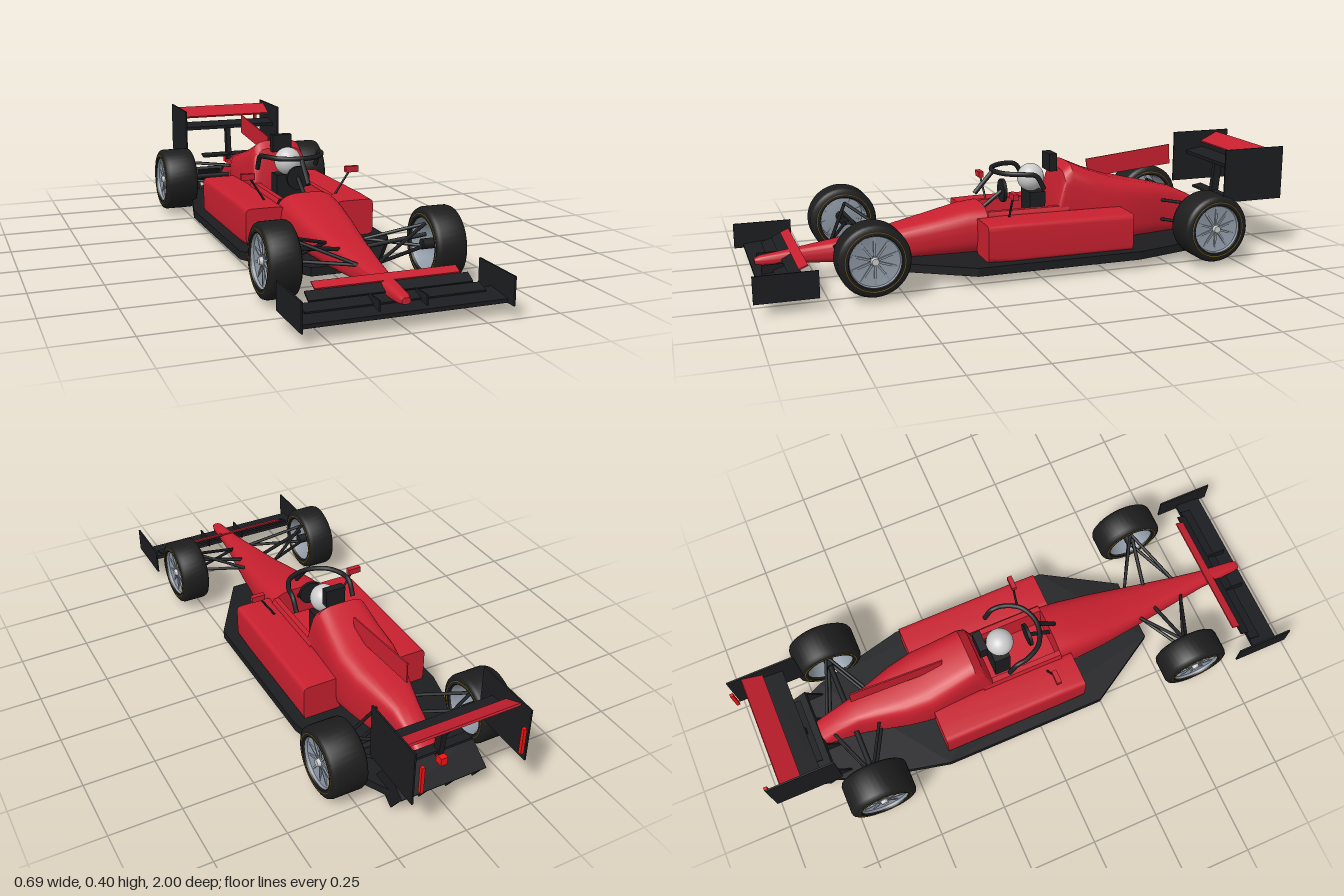
import * as THREE from 'three';
import { toCreasedNormals } from 'three/addons/utils/BufferGeometryUtils.js';

const paint = (color, side = THREE.FrontSide) => new THREE.MeshStandardMaterial({ color, side });
const RED = paint(0xc8202f);
const BLACK = paint(0x1c1d20);
const TYRE = paint(0x1d1d1d, THREE.DoubleSide);
const RIM = paint(0x8f99a5, THREE.DoubleSide);
const YELLOW = paint(0xb08c20);
const WHITE = paint(0xd6d6d6);
const LIGHT = paint(0xf01414);

export function createModel() {
  const car = new THREE.Group();
  car.name = 'racingCar';

  const add = (name, geometry, material, parent = car) => {
    const mesh = new THREE.Mesh(geometry, material);
    mesh.name = name;
    parent.add(mesh);
    return mesh;
  };
  const box = (name, size, pos, material, tilt = 0, parent = car) => {
    const mesh = add(name, new THREE.BoxGeometry(...size), material, parent);
    mesh.position.set(...pos);
    mesh.rotation.x = tilt;
    return mesh;
  };
  const rod = (name, a, b, r, material = BLACK) => {
    const from = new THREE.Vector3(...a), to = new THREE.Vector3(...b);
    const mesh = add(name, new THREE.CylinderGeometry(r, r, from.distanceTo(to), 8), material);
    mesh.position.copy(from).add(to).multiplyScalar(0.5);
    mesh.quaternion.setFromUnitVectors(new THREE.Vector3(0, 1, 0), to.sub(from).normalize());
    return mesh;
  };

  // Skin over rings of [x, y] points, stations running front to back
  const loft = (rings, zs, capped = true) => {
    const n = rings[0].length, pos = [], idx = [];
    rings.forEach((ring, s) => ring.forEach(([x, y]) => pos.push(x, y, zs[s])));
    for (let s = 0; s < rings.length - 1; s++) {
      for (let i = 0; i < n; i++) {
        const a = s * n + i, b = s * n + (i + 1) % n;
        idx.push(a, a + n, b, b, a + n, b + n);
      }
    }
    if (capped) {
      for (const s of [0, rings.length - 1]) {
        const c = pos.length / 3;
        const mean = k => rings[s].reduce((t, p) => t + p[k], 0) / n;
        pos.push(mean(0), mean(1), zs[s]);
        for (let i = 0; i < n; i++) {
          const a = s * n + i, b = s * n + (i + 1) % n;
          idx.push(c, s ? b : a, s ? a : b);
        }
      }
    }
    const g = new THREE.BufferGeometry();
    g.setAttribute('position', new THREE.Float32BufferAttribute(pos, 3));
    g.setIndex(idx);
    return toCreasedNormals(g, 0.6);
  };
  // Rounded section: smaller p is squarer
  const oval = (w, y0, y1, p, cx = 0) => Array.from({ length: 32 }, (_, i) => {
    const t = i / 32 * Math.PI * 2, c = Math.cos(t), s = Math.sin(t);
    return [cx + w * Math.sign(c) * Math.abs(c) ** p,
      (y0 + y1) / 2 + (y1 - y0) / 2 * Math.sign(s) * Math.abs(s) ** p];
  });
  // Stations are [z, half width, bottom, top]
  const body = (name, stations, p, cx = 0) => add(name,
    loft(stations.map(([, w, y0, y1]) => oval(w, y0, y1, p, cx)), stations.map(s => s[0])), RED);

  // Bodywork
  body('nose', [[0.96, 0.014, 0.075, 0.095], [0.94, 0.02, 0.07, 0.102], [0.8, 0.03, 0.065, 0.12],
    [0.69, 0.045, 0.06, 0.135], [0.5, 0.075, 0.055, 0.163], [0.35, 0.097, 0.055, 0.195],
    [0.22, 0.11, 0.055, 0.225], [0.15, 0.115, 0.055, 0.232]], 0.65);
  const tub = [[0.115, 0.055], [0.115, 0.195], [0.105, 0.214], [0.085, 0.214], [0.075, 0.12]];
  const tubRing = [...tub, ...tub.map(([x, y]) => [-x, y]).reverse()];
  add('cockpitTub', loft([tubRing, tubRing], [0.15, -0.16], false), RED);
  body('engineCover', [[-0.12, 0.112, 0.055, 0.225], [-0.15, 0.107, 0.055, 0.34],
    [-0.18, 0.106, 0.055, 0.365], [-0.27, 0.112, 0.055, 0.325], [-0.36, 0.118, 0.055, 0.295],
    [-0.45, 0.104, 0.06, 0.272], [-0.55, 0.076, 0.06, 0.25], [-0.62, 0.057, 0.06, 0.232],
    [-0.7, 0.048, 0.07, 0.195], [-0.8, 0.042, 0.08, 0.13]], 0.5);

  const fin = new THREE.Shape([[0.27, 0.36], [0.615, 0.395], [0.62, 0.32], [0.28, 0.29]]
    .map(p => new THREE.Vector2(...p)));
  add('engineCoverFin', new THREE.ExtrudeGeometry(fin, { depth: 0.005, bevelEnabled: false })
    .rotateY(Math.PI / 2).translate(-0.0025, 0, 0), RED);
  box('rollHoopCamera', [0.075, 0.065, 0.03], [0, 0.363, -0.125], BLACK);

  // Floor with its tapered outline
  const half = [[0.12, 0.505], [0.28, 0.24], [0.28, -0.37], [0.2, -0.71], [0.16, -0.79]];
  const outline = [...half, ...half.map(([x, z]) => [-x, z]).reverse()];
  add('floor', new THREE.ExtrudeGeometry(
    new THREE.Shape(outline.map(p => new THREE.Vector2(...p))), { depth: 0.03, bevelEnabled: false })
    .rotateX(Math.PI / 2).translate(0, 0.066, 0), BLACK);

  // Diffuser with hanging strakes
  const diffuser = new THREE.Group();
  diffuser.name = 'diffuser';
  diffuser.position.set(0, 0.115, -0.815);
  diffuser.rotation.x = -0.6;
  car.add(diffuser);
  box('diffuserPlate', [0.32, 0.012, 0.12], [0, 0, 0], BLACK, 0, diffuser);
  for (const x of [-0.157, -0.052, 0.052, 0.157]) {
    box('diffuserStrake', [0.006, 0.1, 0.115], [x, -0.05, 0], BLACK, 0, diffuser);
  }

  // Front wing
  box('frontWingMain', [0.67, 0.014, 0.1], [0, 0.054, 0.917], BLACK, 0.1);
  box('frontWingLowerFlap', [0.59, 0.006, 0.045], [0, 0.073, 0.885], BLACK, 0.3);
  box('frontWingMiddleFlap', [0.54, 0.006, 0.04], [0, 0.096, 0.852], BLACK, 0.5);
  box('frontWingUpperFlap', [0.48, 0.005, 0.034], [0, 0.118, 0.825], RED, 0.4);
  for (const x of [-0.077, 0.077]) box('frontWingBracket', [0.005, 0.035, 0.09], [x, 0.073, 0.9], BLACK);

  // Rear wing
  box('rearWingMain', [0.405, 0.014, 0.075], [0, 0.322, -0.84], BLACK, 0.15);
  box('rearWingFlap', [0.405, 0.008, 0.078], [0, 0.372, -0.905], RED, 0.45);
  box('rearWingPillar', [0.02, 0.15, 0.03], [0, 0.245, -0.825], BLACK, -0.1);
  box('beamWing', [0.24, 0.008, 0.04], [0, 0.195, -0.81], BLACK, 0.15);
  box('rainLight', [0.025, 0.03, 0.03], [0, 0.17, -0.84], LIGHT);

  // Driver and cockpit
  const helmet = add('helmet', new THREE.SphereGeometry(0.05, 32, 20), WHITE);
  helmet.position.set(0, 0.307, -0.05);
  helmet.scale.y = 1.03;
  box('driverTorso', [0.1, 0.14, 0.06], [0, 0.19, -0.06], BLACK);
  const wheel = add('steeringWheel', new THREE.CylinderGeometry(0.043, 0.043, 0.012, 24)
    .rotateX(Math.PI / 2), BLACK);
  wheel.position.set(0, 0.265, 0.06);
  rod('steeringColumn', [0, 0.265, 0.06], [0, 0.19, 0.16], 0.008);

  // Halo
  const hoop = new THREE.CatmullRomCurve3([[-0.115, 0.285, -0.06], [-0.115, 0.335, -0.03],
    [-0.11, 0.342, 0.01], [-0.075, 0.342, 0.07], [0, 0.342, 0.097], [0.075, 0.342, 0.07],
    [0.11, 0.342, 0.01], [0.115, 0.335, -0.03], [0.115, 0.285, -0.06]].map(p => new THREE.Vector3(...p)));
  add('haloHoop', new THREE.TubeGeometry(hoop, 48, 0.009, 10), BLACK);
  rod('haloPillar', [0, 0.342, 0.095], [0, 0.262, 0.167], 0.009);

  // Tyre, rim, spokes and hub, spun about x
  const addWheel = (side, x, z, width) => {
    const g = new THREE.Group();
    g.name = z > 0 ? 'frontWheel' : 'rearWheel';
    g.position.set(side * x, 0.139, z);
    g.rotation.z = -side * Math.PI / 2;
    car.add(g);
    const h = width / 2;
    const lathe = pts => toCreasedNormals(
      new THREE.LatheGeometry(pts.map(p => new THREE.Vector2(...p)), 40), 0.7);
    add('tyre', lathe([[0.086, -h + 0.012], [0.09, -h], [0.108, -h], [0.119, -h + 0.006], [0.123, -h + 0.016],
      [0.123, h - 0.016], [0.119, h - 0.006], [0.108, h], [0.09, h], [0.086, h - 0.012]]), TYRE, g);
    add('rimBarrel', lathe([[0.087, -h + 0.008], [0.083, -h + 0.02], [0.083, h - 0.02], [0.087, h - 0.006]]), RIM, g);
    add('rimFace', lathe([[0, h - 0.022], [0.04, h - 0.022], [0.085, h - 0.014]]), RIM, g);
    for (const end of [-1, 1]) {
      add('tyreStripe', new THREE.TorusGeometry(0.1, 0.0016, 6, 40)
        .rotateX(Math.PI / 2).translate(0, end * h, 0), YELLOW, g);
    }
    for (let i = 0; i < 10; i++) {
      add('spoke', new THREE.BoxGeometry(0.066, 0.006, 0.007).translate(0.047, h - 0.017, 0)
        .rotateY(i * Math.PI / 5), RIM, g);
    }
    add('hub', new THREE.CylinderGeometry(0.012, 0.015, 0.02, 16).translate(0, h - 0.012, 0), WHITE, g);
    add('axle', new THREE.CylinderGeometry(0.018, 0.018, width * 0.8, 12).translate(0, -0.01, 0), BLACK, g);
  };

  // Mirrored parts
  for (const s of [-1, 1]) {
    body('sidepod', [[0.19, 0.071, 0.066, 0.197], [0.1, 0.071, 0.06, 0.2],
      [-0.36, 0.071, 0.06, 0.197]], 0.22, s * 0.17);
    box('frontWingEndplate', [0.006, 0.093, 0.21], [s * 0.338, 0.088, 0.895], BLACK);
    box('rearWingEndplate', [0.006, 0.2, 0.245], [s * 0.205, 0.3, -0.868], BLACK);
    box('rearWingLight', [0.012, 0.1, 0.012], [s * 0.181, 0.293, -0.994], LIGHT);
    box('mirror', [0.05, 0.022, 0.018], [s * 0.2, 0.289, 0.085], RED);
    rod('mirrorStalk', [s * 0.19, 0.28, 0.085], [s * 0.135, 0.195, 0.08], 0.004);

    addWheel(s, 0.281, 0.605, 0.108);
    addWheel(s, 0.281, -0.645, 0.13);

    // Front wishbones, track rod, then rear wishbones and driveshaft
    for (const y of [0.13, 0.205]) {
      rod('frontWishbone', [s * 0.24, y, 0.6], [s * 0.035, 0.12, 0.69], 0.006);
      rod('frontWishbone', [s * 0.24, y, 0.6], [s * 0.07, 0.145, 0.5], 0.006);
      rod('rearWishbone', [s * 0.24, y, -0.645], [s * 0.06, y - 0.01, -0.55], 0.006);
      rod('rearWishbone', [s * 0.24, y, -0.645], [s * 0.04, y - 0.04, -0.72], 0.006);
    }
    rod('trackRod', [s * 0.24, 0.173, 0.61], [s * 0.05, 0.14, 0.57], 0.007);
    rod('driveshaft', [s * 0.25, 0.14, -0.645], [s * 0.04, 0.14, -0.645], 0.01);
  }
  return car;
}
